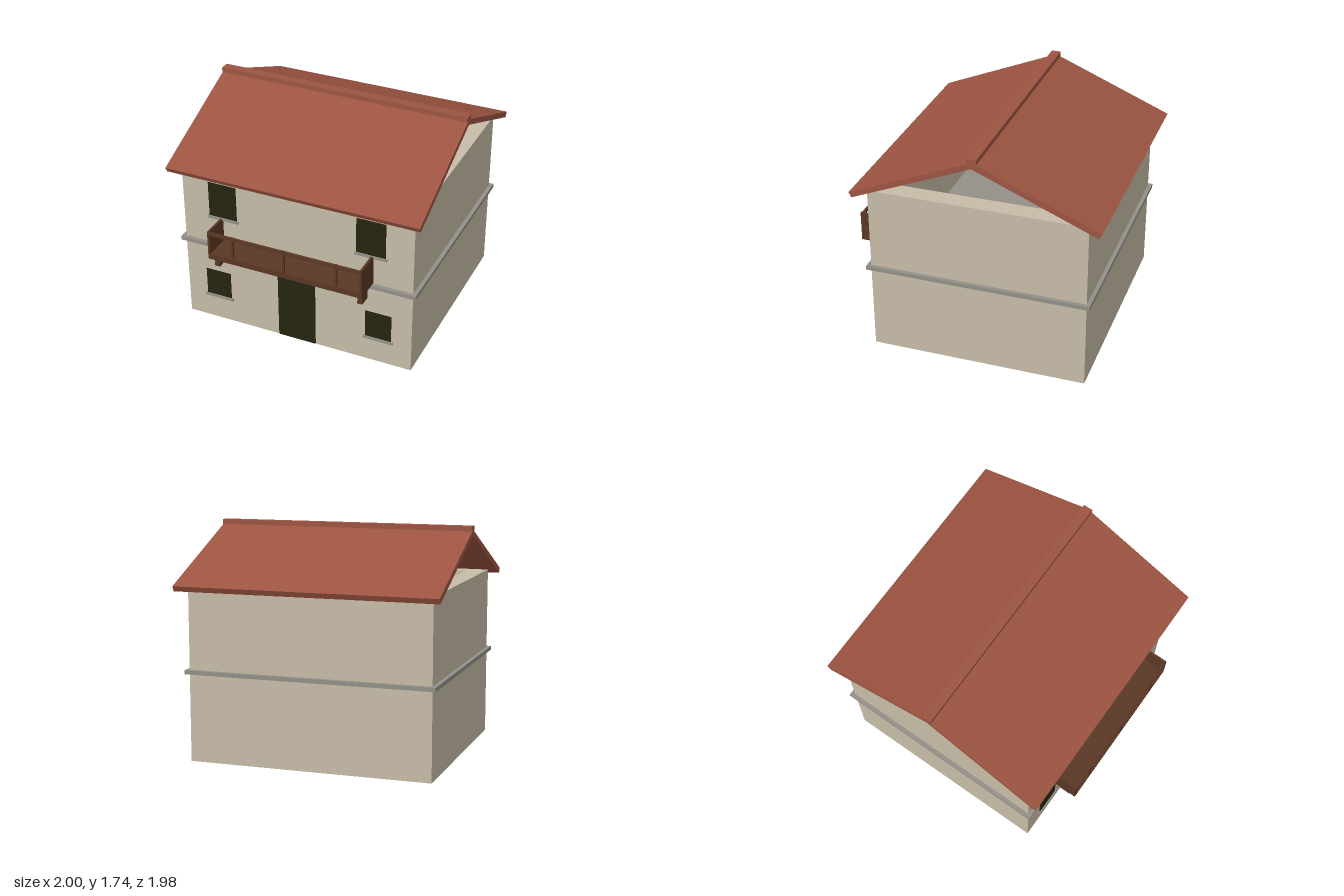
import * as THREE from 'three';

export function createModel() {
  const house = new THREE.Group();
  house.name = 'house';

  const material = (name, color) => {
    const m = new THREE.MeshStandardMaterial({ color });
    m.name = name;
    return m;
  };
  const plaster = material('plaster', 0xc6bca7);
  const stone = material('stone', 0x949089);
  const tile = material('roofTile', 0x9d5441);
  const wood = material('darkWood', 0x5a3725);
  const dark = material('darkOpening', 0x252410);

  const add = (name, geometry, mat, parent = house) => {
    const mesh = new THREE.Mesh(geometry, mat);
    mesh.name = name;
    parent.add(mesh);
    return mesh;
  };
  // Box given by its limits on each axis
  const box = (name, mat, [x0, x1], [y0, y1], [z0, z1], parent) => {
    const g = new THREE.BoxGeometry(x1 - x0, y1 - y0, z1 - z0);
    g.translate((x0 + x1) / 2, (y0 + y1) / 2, (z0 + z1) / 2);
    return add(name, g, mat, parent);
  };
  const polygon = (points) => new THREE.Shape(points.map(([x, y]) => new THREE.Vector2(x, y)));

  const midZ = -0.051, halfX = 0.928, halfZ = 0.828, wallTop = 1.322, thick = 0.148;
  const front = midZ + halfZ, back = midZ - halfZ;
  const doorX = 0.153, doorTop = 0.54;

  // Hollow walls, open below and above, with a doorway through the front
  const walls = new THREE.Group();
  walls.name = 'walls';
  house.add(walls);
  const frontShape = polygon([
    [-halfX, 0], [-doorX, 0], [-doorX, doorTop], [doorX, doorTop],
    [doorX, 0], [halfX, 0], [halfX, wallTop], [-halfX, wallTop],
  ]);
  const frontGeometry = new THREE.ExtrudeGeometry(frontShape, { depth: thick, bevelEnabled: false });
  frontGeometry.translate(0, 0, front - thick);
  add('frontWall', frontGeometry, plaster, walls);
  box('backWall', plaster, [-halfX, halfX], [0, wallTop], [back, back + thick], walls);
  box('leftWall', plaster, [halfX - thick, halfX], [0, wallTop], [back + thick, front - thick], walls);
  box('rightWall', plaster, [-halfX, thick - halfX], [0, wallTop], [back + thick, front - thick], walls);

  // Upper floor slab, showing outside as a band
  box('floorSlab', stone, [-0.958, 0.958], [0.664, 0.695], [back - 0.03, front + 0.03]);

  // Gable roof with square-cut eaves
  const roofShape = polygon([
    [-0.918, 1.288], [0, 1.67], [0.918, 1.288],
    [0.939, 1.327], [0, 1.716], [-0.939, 1.327],
  ]);
  const roofGeometry = new THREE.ExtrudeGeometry(roofShape, { depth: 2, bevelEnabled: false });
  roofGeometry.translate(0, 0, -1).rotateY(Math.PI / 2).translate(0, 0, midZ);
  add('roof', roofGeometry, tile);
  box('ridgeCap', tile, [-1, 1], [1.706, 1.743], [midZ - 0.037, midZ + 0.037]);

  // Door and windows as thin plates, windows with sills
  box('door', dark, [-doorX, doorX], [0.004, doorTop], [front - 0.001, front + 0.008]);
  const windows = [
    { level: 'upper', x: 0.597, w: 0.228, y0: 0.936, y1: 1.22, sill: 0.254 },
    { level: 'lower', x: 0.663, w: 0.207, y0: 0.214, y1: 0.438, sill: 0.24 },
  ];
  for (const side of [-1, 1]) {
    for (const { level, x, w, y0, y1, sill } of windows) {
      const cx = side * x;
      box(level + 'Window', dark, [cx - w / 2, cx + w / 2], [y0, y1], [front - 0.002, front + 0.005]);
      box(level + 'Sill', stone, [cx - sill / 2, cx + sill / 2], [y0 - 0.02, y0], [front - 0.002, front + 0.014]);
    }
  }

  // Balcony: deck, solid ends, rail, posts and brackets
  const balcony = new THREE.Group();
  balcony.name = 'balcony';
  house.add(balcony);
  const outer = 0.99, inner = 0.777;
  box('deck', wood, [-0.6, 0.6], [0.698, 0.743], [inner, outer], balcony);
  box('rail', wood, [-0.6, 0.6], [0.902, 0.924], [outer - 0.02, outer], balcony);
  for (const x of [-0.415, 0, 0.415]) {
    box('post', wood, [x - 0.008, x + 0.008], [0.743, 0.928], [outer - 0.018, outer - 0.001], balcony);
  }
  for (const side of [-1, 1]) {
    const e = side * 0.609, b = side * 0.58;
    box('endPanel', wood, [e - 0.009, e + 0.009], [0.698, 0.932], [inner, outer], balcony);
    box('bracket', wood, [b - 0.02, b + 0.02], [0.602, 0.698], [0.84, 0.93], balcony);
  }

  return house;
}
